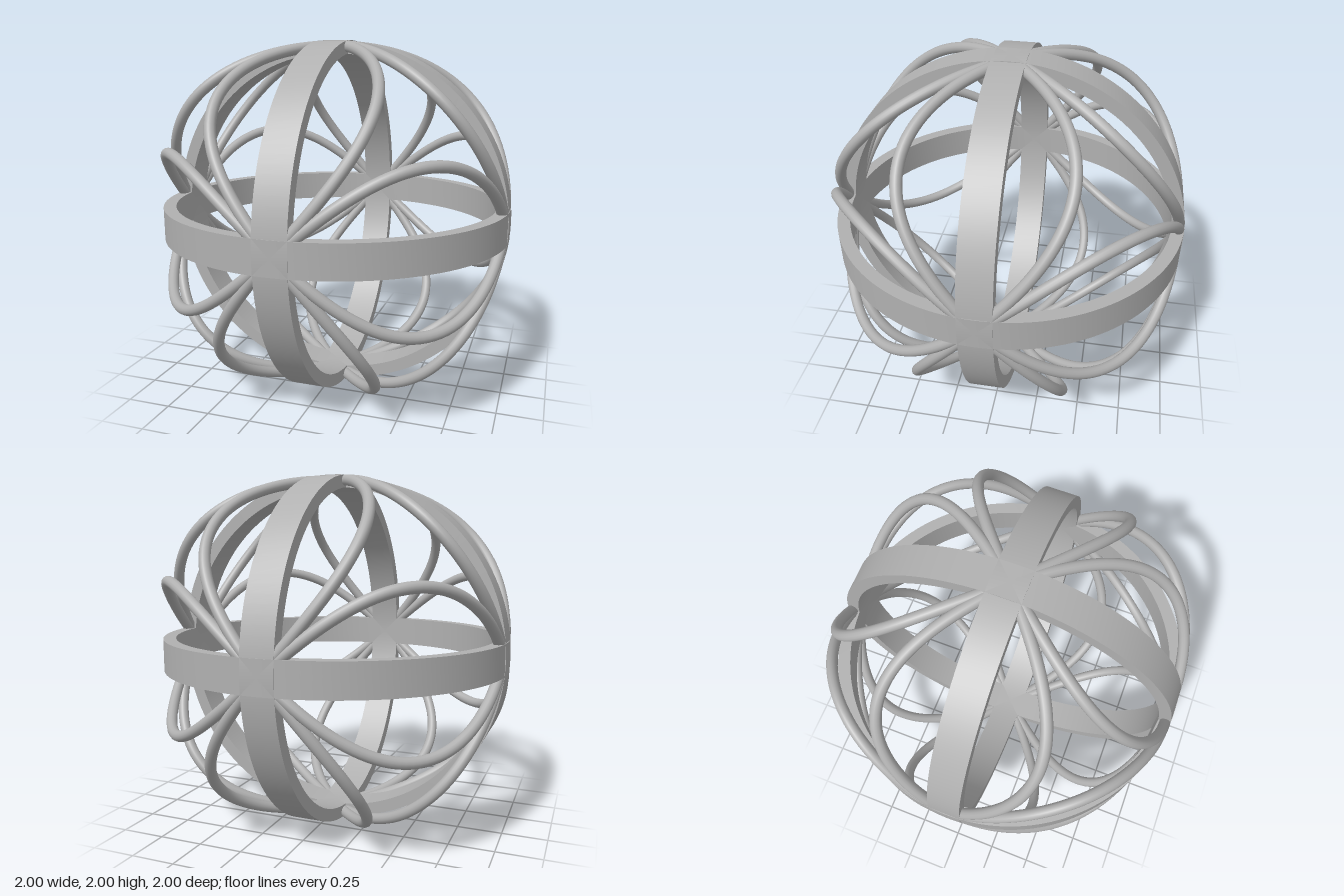
import * as THREE from 'three';
import { toCreasedNormals } from 'three/addons/utils/BufferGeometryUtils.js';

const OUTER = 1, INNER = 0.93, HALF_WIDTH = 0.09;
const WIRE_RADIUS = 0.03, WAVE = 0.415;

// Closed wire that runs round a ring and swings to either side of it twice
class WaveCurve extends THREE.Curve {
  constructor(sign) {
    super();
    this.sign = sign;
  }
  getPoint(t, target = new THREE.Vector3()) {
    const a = t * Math.PI * 2, r = OUTER - WIRE_RADIUS;
    return target.set(r * Math.cos(a), this.sign * WAVE * Math.sin(2 * a), r * Math.sin(a));
  }
}

export function createModel() {
  const model = new THREE.Group();
  model.name = 'openworkSphere';
  const metal = new THREE.MeshStandardMaterial({ color: 0xb0b0b0 });
  metal.name = 'grey metal';

  // Flat hoop with a rectangular section
  const section = [
    [INNER, -HALF_WIDTH], [OUTER, -HALF_WIDTH], [OUTER, HALF_WIDTH],
    [INNER, HALF_WIDTH], [INNER, -HALF_WIDTH],
  ].map(([x, y]) => new THREE.Vector2(x, y));
  const hoop = toCreasedNormals(new THREE.LatheGeometry(section, 128), 0.6);
  const wires = [1, -1].map((s) => new THREE.TubeGeometry(new WaveCurve(s), 192, WIRE_RADIUS, 14, true));

  // One hoop and its two wires in each of the three main planes
  const planes = [
    ['horizontal', 0, 0],
    ['frontFacing', Math.PI / 2, 0],
    ['sideFacing', 0, Math.PI / 2],
  ];
  for (const [name, rx, rz] of planes) {
    const ring = new THREE.Group();
    ring.name = name + 'Ring';
    const band = new THREE.Mesh(hoop, metal);
    band.name = name + 'Band';
    ring.add(band);
    wires.forEach((geometry, i) => {
      const wire = new THREE.Mesh(geometry, metal);
      wire.name = name + (i ? 'WireB' : 'WireA');
      ring.add(wire);
    });
    ring.rotation.set(rx, 0, rz);
    ring.position.y = 1;
    model.add(ring);
  }
  return model;
}
